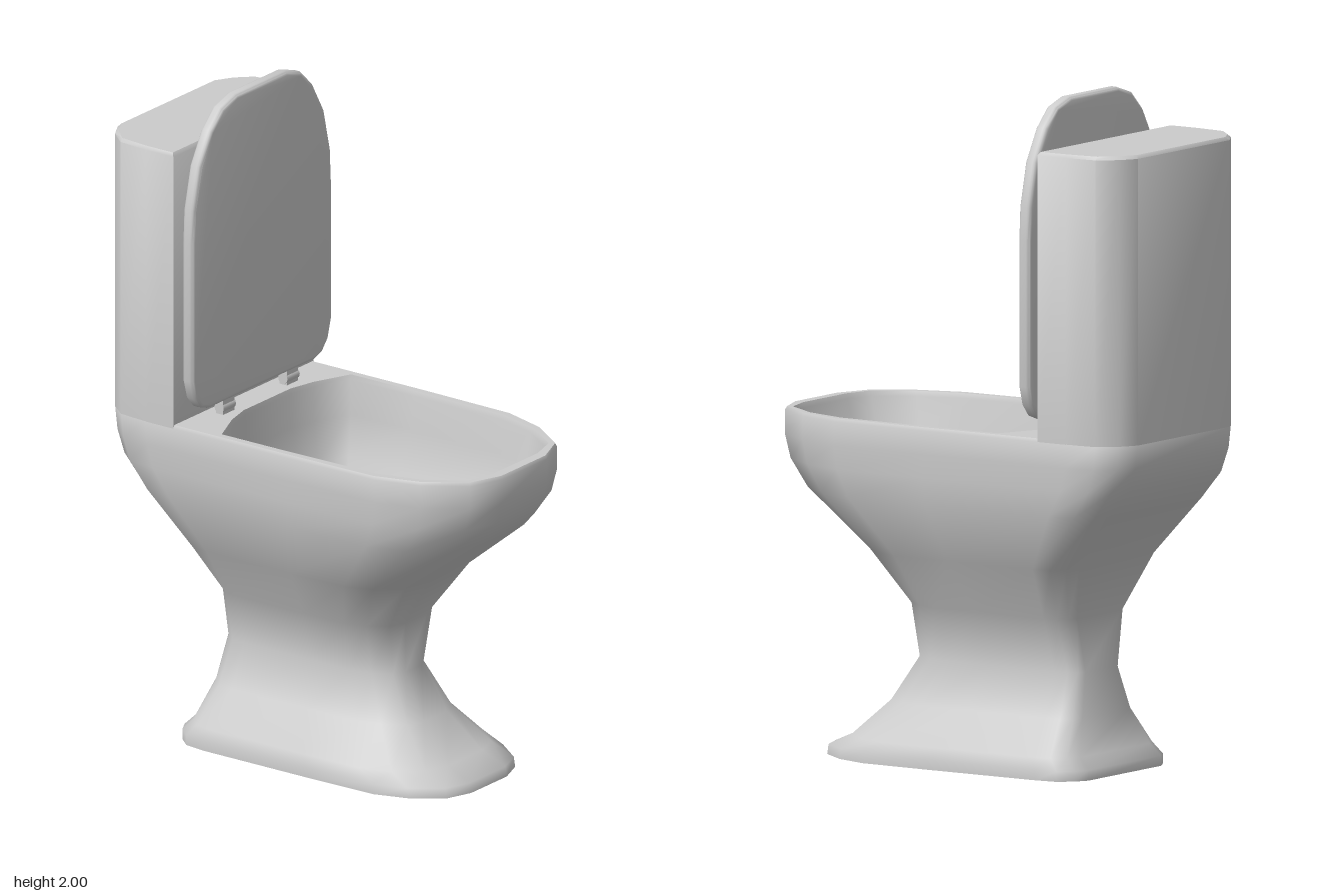
import * as THREE from 'three';
import { toCreasedNormals } from 'three/addons/utils/BufferGeometryUtils.js';

const material = new THREE.MeshStandardMaterial({ color: 0xcccccc, side: THREE.DoubleSide });

// Half outlines, front to back: [fraction of half width, inset from the end, end (1 front, -1 back)]
const OUTER = [[0.32, 0, 1], [0.62, 0.04, 1], [0.86, 0.16, 1], [0.985, 0.3, 1], [1, 0.62, 1],
  [1, 0.18, -1], [0.97, 0.085, -1], [0.84, 0.03, -1], [0.69, 0, -1]];
const BOWL = [[0.35, 0, 1], [0.63, 0.025, 1], [0.86, 0.135, 1], [0.98, 0.27, 1], [1, 0.6, 1],
  [1, 0.07, -1], [0.63, 0.02, -1], [0.36, 0, -1]];

// Mirror a half outline of [x, z] into a closed ring
function mirrorRing(half, y) {
  const left = half.map(([x, z]) => new THREE.Vector3(x, y, z));
  const right = half.map(([x, z]) => new THREE.Vector3(-x, y, z)).reverse();
  return [...left, ...right];
}

// Ring at height y with half width w, from zFront to zBack
function ring(profile, fullLength, [y, w, zFront, zBack]) {
  const s = (zFront - zBack) / fullLength;
  return mirrorRing(profile.map(([fx, inset, end]) =>
    [fx * w, end > 0 ? zFront - inset * s : zBack + inset * s]), y);
}

// Skin through rings; upward order faces outward, downward order faces inward
function loft(rings, crease = 0.9) {
  const n = rings[0].length;
  const index = [];
  for (let r = 0; r < rings.length - 1; r++) {
    for (let i = 0; i < n; i++) {
      const j = (i + 1) % n, a = r * n, b = a + n;
      index.push(a + i, a + j, b + j, a + i, b + j, b + i);
    }
  }
  const g = new THREE.BufferGeometry().setFromPoints(rings.flat());
  g.setIndex(index);
  return toCreasedNormals(g, crease);
}

// Level, upward-facing surface filling a ring, with an optional hole
function cap(points, hole) {
  const flat = (ps) => ps.map((p) => new THREE.Vector2(p.x, -p.z));
  const shape = new THREE.Shape(flat(points));
  if (hole) shape.holes.push(new THREE.Path(flat(hole)));
  return new THREE.ShapeGeometry(shape).rotateX(-Math.PI / 2).translate(0, points[0].y, 0);
}

function add(parent, name, geometry) {
  const mesh = new THREE.Mesh(geometry, material);
  mesh.name = name;
  parent.add(mesh);
  return mesh;
}

export function createModel() {
  const model = new THREE.Group();
  model.name = 'toilet';

  // Pedestal and outer bowl, open underneath: y, half width, front z, back z
  const body = [
    [0, 0.27, 0.525, -0.445], [0.03, 0.27, 0.52, -0.445], [0.065, 0.258, 0.44, -0.41],
    [0.17, 0.175, 0.33, -0.378], [0.3, 0.12, 0.25, -0.362], [0.46, 0.165, 0.26, -0.355],
    [0.62, 0.268, 0.37, -0.41], [0.79, 0.328, 0.575, -0.555], [0.87, 0.337, 0.635, -0.62],
    [0.94, 0.34, 0.655, -0.645], [1.01, 0.341, 0.655, -0.653], [1.02, 0.336, 0.65, -0.648],
  ].map((row) => ring(OUTER, 1.31, row));
  add(model, 'body', loft(body, 1.2));

  // Inner bowl, from the rim down to the floor
  const bowl = [
    [1.02, 0.315, 0.62, -0.283], [1.005, 0.31, 0.612, -0.28], [0.9, 0.305, 0.59, -0.275],
    [0.78, 0.275, 0.49, -0.25], [0.63, 0.205, 0.31, -0.19], [0.5, 0.14, 0.165, -0.14],
  ].map((row) => ring(BOWL, 0.9, row));
  add(model, 'bowl', loft(bowl, 1.2));
  add(model, 'bowlFloor', cap(bowl[bowl.length - 1]));
  add(model, 'rim', cap(body[body.length - 1], bowl[0]));

  // Cistern rising flush from the back of the body
  const tankRing = (y, inset) => mirrorRing([
    [0.341 - inset, -0.37 - inset], [0.341 - inset, -0.47], [0.331 - inset, -0.57],
    [0.286 - inset, -0.624 + inset], [0.235 - inset, -0.653 + inset],
  ], y);
  const tank = [tankRing(1.01, 0), tankRing(1.855, 0), tankRing(1.865, 0.008)];
  add(model, 'cistern', loft(tank, 0.75));
  add(model, 'cisternTop', cap(tank[2]));

  // Raised lid with rounded edges
  const half = [[0.125, 2], [0.195, 1.978], [0.25, 1.925], [0.305, 1.83], [0.335, 1.7], [0.34, 1.6],
    [0.34, 1.16], [0.325, 1.105], [0.3, 1.075], [0.265, 1.063]];
  const bevel = 0.012;
  const lidHalf = half.map(([x, y]) => [x - bevel * Math.min(1, x / 0.3),
    1.5315 + (y - 1.5315) * (1 - bevel / 0.4685)]);
  const outline = [...lidHalf, ...lidHalf.map(([x, y]) => [-x, y]).reverse()];
  const lidShape = new THREE.Shape(outline.map(([x, y]) => new THREE.Vector2(x, y)));
  const lid = new THREE.ExtrudeGeometry(lidShape, {
    depth: 0.016, bevelThickness: bevel, bevelSize: bevel, bevelSegments: 3,
  }).translate(0, 0, -0.328);
  add(model, 'lid', toCreasedNormals(lid, 0.7));

  // Pair of hinges joining the lid to the deck
  for (const side of [-1, 1]) {
    const hinge = new THREE.Group();
    hinge.name = side > 0 ? 'leftHinge' : 'rightHinge';
    hinge.position.set(side * 0.155, 0, -0.32);
    add(hinge, 'hingeBlock', new THREE.BoxGeometry(0.055, 0.055, 0.026)).position.y = 1.0425;
    const pin = new THREE.CylinderGeometry(0.017, 0.017, 0.06, 12).rotateZ(Math.PI / 2);
    add(hinge, 'hingePin', pin).position.y = 1.04;
    model.add(hinge);
  }
  return model;
}
